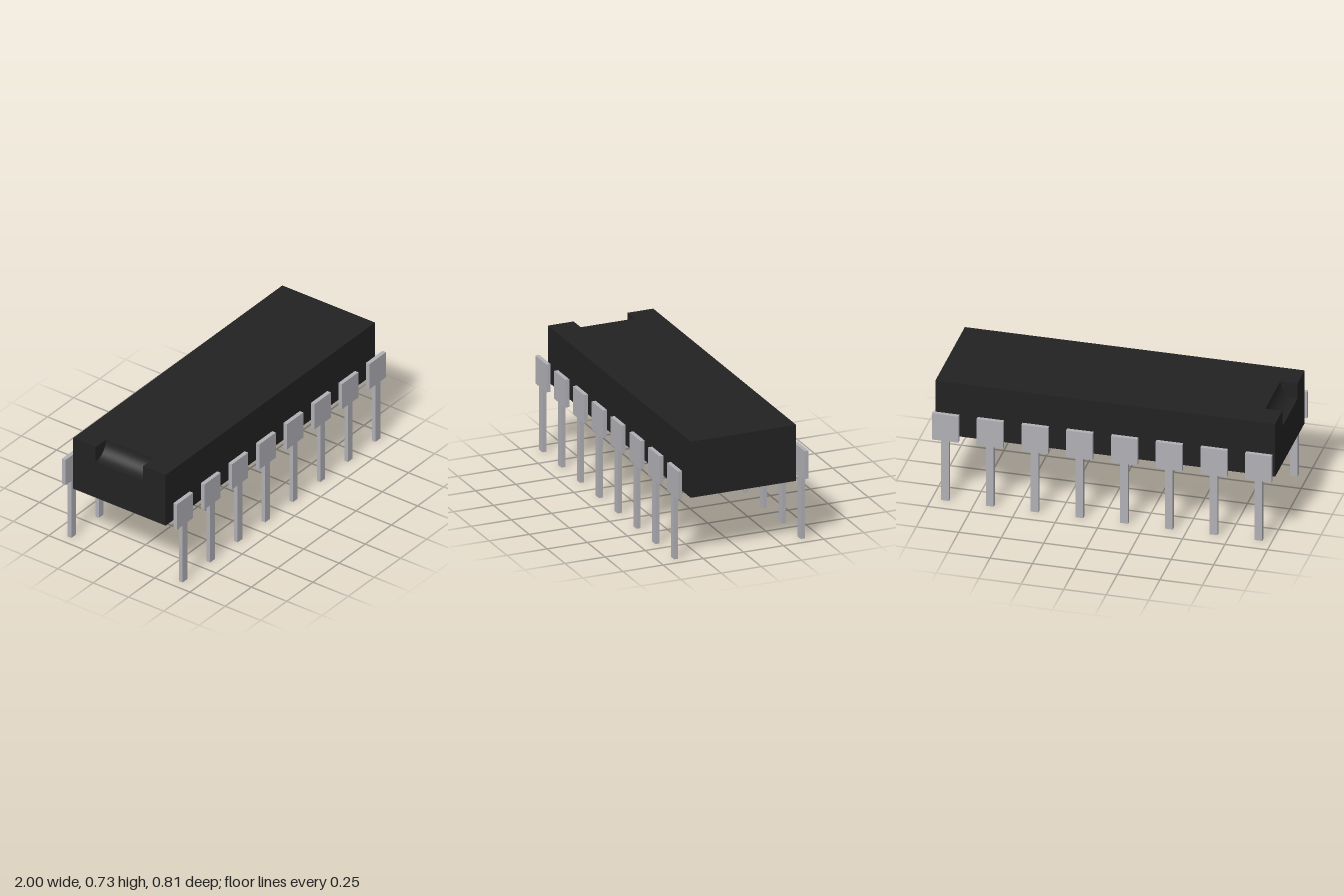
import * as THREE from 'three';

export function createModel() {
  const model = new THREE.Group();
  model.name = 'chipPackage';
  const plastic = new THREE.MeshStandardMaterial({ color: 0x222222 });
  plastic.name = 'black plastic';
  const metal = new THREE.MeshStandardMaterial({ color: 0xafafb5 });
  metal.name = 'grey metal';

  const bottom = 0.383, top = 0.725, halfDepth = 0.328, notchHalf = 0.168, notchRadius = 0.1;

  function box(name, material, w, h, d, x, y, z, parent) {
    const mesh = new THREE.Mesh(new THREE.BoxGeometry(w, h, d), material);
    mesh.name = name;
    mesh.position.set(x, y, z);
    parent.add(mesh);
  }

  // Body: a middle slice with a scooped end, between two plain side slices
  const body = new THREE.Group();
  body.name = 'body';
  model.add(body);
  const profile = new THREE.Shape();
  profile.moveTo(-1, bottom);
  profile.lineTo(1, bottom);
  profile.lineTo(1, top);
  profile.lineTo(-1 + notchRadius, top);
  profile.absarc(-1, top, notchRadius, 0, -Math.PI / 2, true);
  profile.closePath();
  const middle = new THREE.Mesh(
    new THREE.ExtrudeGeometry(profile, { depth: notchHalf * 2, bevelEnabled: false, curveSegments: 8 }),
    plastic
  );
  middle.name = 'notchedMiddle';
  middle.position.z = -notchHalf;
  body.add(middle);
  const sideDepth = halfDepth - notchHalf;
  for (const side of [1, -1]) {
    box(side > 0 ? 'frontSlice' : 'backSlice', plastic, 2, top - bottom, sideDepth,
      0, (top + bottom) / 2, side * (notchHalf + sideDepth / 2), body);
  }

  // Pins: eight per side, each a broad shoulder over a narrow leg
  for (const side of [1, -1]) {
    for (let i = 0; i < 8; i++) {
      const pin = new THREE.Group();
      pin.name = `${side > 0 ? 'front' : 'back'}Pin${i + 1}`;
      pin.position.set((i - 3.5) * 0.2633, 0, side * 0.394);
      box('shoulder', metal, 0.156, 0.17, 0.025, 0, 0.47, 0, pin);
      box('leg', metal, 0.046, 0.385, 0.025, 0, 0.1925, 0, pin);
      model.add(pin);
    }
  }
  return model;
}
